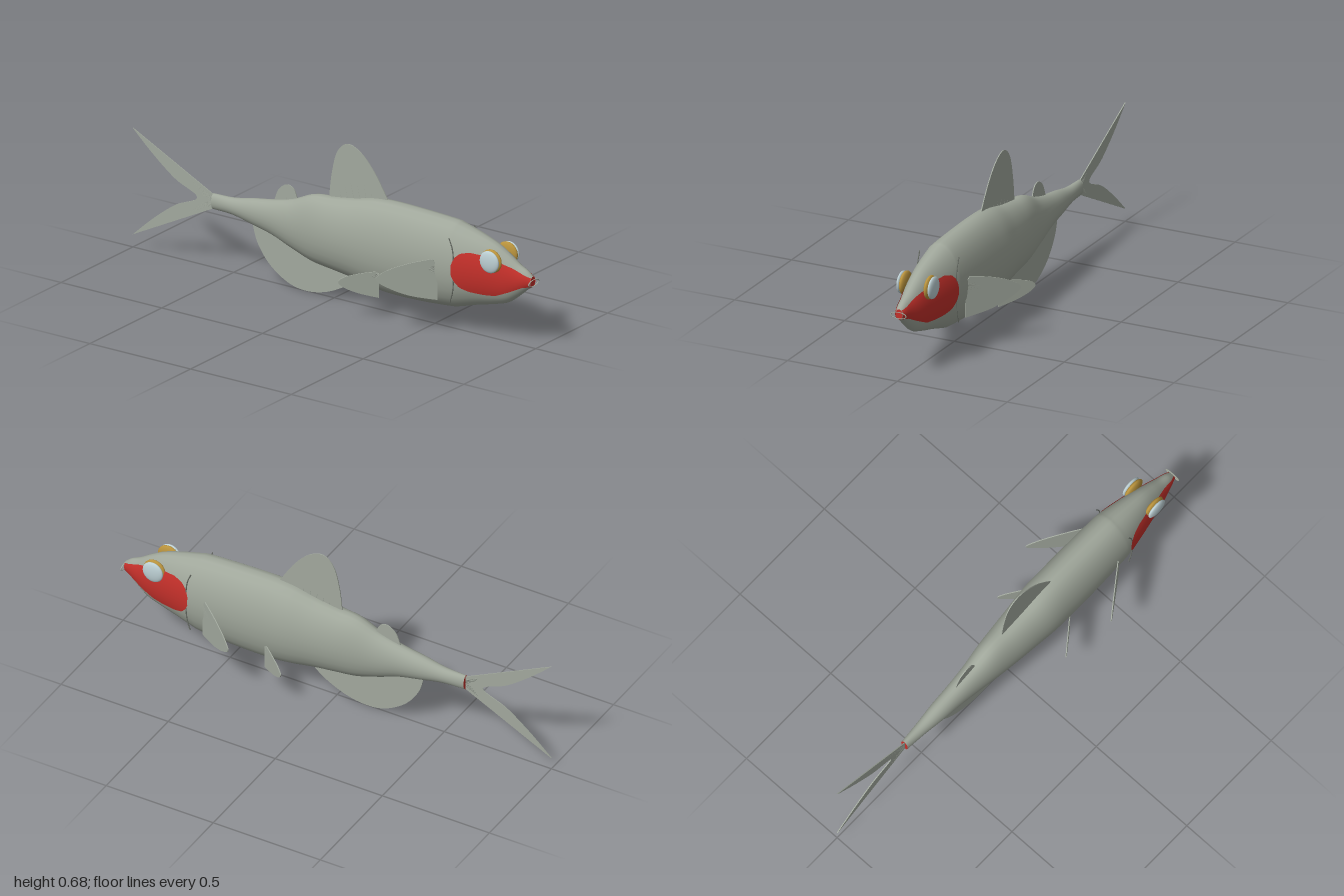
import * as THREE from 'three';

const mat = (name, color, side = THREE.FrontSide) => {
  const m = new THREE.MeshStandardMaterial({ color, side });
  m.name = name;
  return m;
};

// Body stations: x, top, bottom, half width
const STATIONS = [
  [-0.6, 0.325, 0.258, 0.018], [-0.5, 0.328, 0.255, 0.027], [-0.4, 0.347, 0.235, 0.038],
  [-0.3, 0.364, 0.212, 0.045], [-0.2, 0.39, 0.175, 0.055], [-0.1, 0.432, 0.143, 0.068],
  [0, 0.443, 0.13, 0.08], [0.1, 0.458, 0.118, 0.09], [0.2, 0.48, 0.1, 0.099],
  [0.3, 0.487, 0.09, 0.1], [0.45, 0.484, 0.092, 0.1], [0.6, 0.477, 0.103, 0.097],
  [0.645, 0.468, 0.112, 0.094], [0.73, 0.445, 0.137, 0.079], [0.81, 0.418, 0.157, 0.062],
  [0.87, 0.385, 0.178, 0.049], [0.92, 0.352, 0.215, 0.036], [0.96, 0.332, 0.25, 0.025],
  [0.985, 0.312, 0.268, 0.016],
];
const HEAD_T = 12 / 18; // parameter of the station behind the gill

const profile = new THREE.CatmullRomCurve3(
  STATIONS.map(([x, t, b]) => new THREE.Vector3(x, (t + b) / 2, (t - b) / 2)), false, 'catmullrom', 0.5);
const widths = new THREE.CatmullRomCurve3(
  STATIONS.map((s) => new THREE.Vector3(s[0], s[3], 0)), false, 'catmullrom', 0.5);
const section = (t) => {
  const p = profile.getPoint(t);
  return { x: p.x, y: p.y, ry: p.z, rz: widths.getPoint(t).y };
};

// Smooth skin from a function of two parameters
function skin(rows, cols, point, wrap = false) {
  const pos = [], index = [], n = wrap ? cols : cols + 1;
  for (let i = 0; i <= rows; i++)
    for (let j = 0; j < n; j++) pos.push(...point(i / rows, j / cols));
  for (let i = 0; i < rows; i++)
    for (let j = 0; j < cols; j++) {
      const a = i * n + j, b = i * n + ((j + 1) % n);
      index.push(a, a + n, b, b, a + n, b + n);
    }
  const g = new THREE.BufferGeometry();
  g.setAttribute('position', new THREE.Float32BufferAttribute(pos, 3));
  g.setIndex(index);
  g.computeVertexNormals();
  return g;
}

// Upper and lower limits of the red cheek: x, top, bottom
const CHEEK = [
  [0.645, 0.315, 0.275], [0.655, 0.345, 0.25], [0.68, 0.368, 0.223], [0.72, 0.378, 0.211],
  [0.78, 0.374, 0.207], [0.83, 0.36, 0.21], [0.9, 0.34, 0.24], [0.95, 0.32, 0.265], [0.99, 0.305, 0.272],
];
function cheekLimits(x) {
  let i = 0;
  while (i < CHEEK.length - 2 && x > CHEEK[i + 1][0]) i++;
  const [a, b] = [CHEEK[i], CHEEK[i + 1]];
  const k = THREE.MathUtils.clamp((x - a[0]) / (b[0] - a[0]), 0, 1);
  return [a[1] + (b[1] - a[1]) * k, a[2] + (b[2] - a[2]) * k];
}

export function createModel() {
  const model = new THREE.Group();
  model.name = 'fish';
  const grey = mat('scale grey', 0xa0a79b, THREE.DoubleSide);
  const finGrey = mat('fin grey', 0xa2a99e, THREE.DoubleSide);
  const dark = mat('gill grey', 0x6d726a);
  const red = mat('cheek red', 0xc4302a, THREE.DoubleSide);
  const gold = mat('iris gold', 0xb8923c);
  const pale = mat('lens pale blue', 0xbdd0d4);

  const add = (name, geo, material, parent = model) => {
    const m = new THREE.Mesh(geo, material);
    m.name = name;
    parent.add(m);
    return m;
  };

  // Body
  add('body', skin(108, 24, (t, v) => {
    const s = section(t), a = v * Math.PI * 2;
    return [s.x, s.y + s.ry * Math.cos(a), s.rz * Math.sin(a)];
  }, true), grey);

  // Red caps closing the snout and the tail root
  [[0, -1, 'tailRootCap'], [1, 1, 'snoutCap']].forEach(([t, dir, name]) => {
    const s = section(t);
    const cap = add(name, new THREE.CircleGeometry(1, 24), red);
    cap.scale.set(s.rz, s.ry, 1);
    cap.rotation.y = dir * Math.PI / 2;
    cap.position.set(s.x, s.y, 0);
  });

  for (const side of [1, -1]) {
    const label = side > 0 ? 'front' : 'back';

    // Cheek patch lying on the head
    add(label + 'Cheek', skin(60, 16, (t, v) => {
      const s = section(HEAD_T + (1 - HEAD_T) * t), [top, bottom] = cheekLimits(s.x);
      const angle = (y) => Math.acos(THREE.MathUtils.clamp((y - s.y) / s.ry, -1, 1));
      const a = THREE.MathUtils.lerp(angle(top), angle(bottom), v);
      return [s.x, s.y + (s.ry + 0.002) * Math.cos(a), side * (s.rz + 0.002) * Math.sin(a)];
    }), red);

    // Eye: golden disc with a pale lens outside
    const eye = new THREE.Group();
    eye.name = label + 'Eye';
    eye.position.set(0.82, 0.361, 0);
    model.add(eye);
    const iris = add('iris', new THREE.SphereGeometry(0.05, 28, 18), gold, eye);
    iris.scale.z = 0.32;
    iris.position.z = side * 0.056;
    const lens = add('lens', new THREE.SphereGeometry(0.047, 28, 18), pale, eye);
    lens.scale.z = 0.27;
    lens.position.z = side * 0.071;

    // Gill line
    const gill = new THREE.CatmullRomCurve3([[0.632, 0.43], [0.65, 0.38], [0.655, 0.29], [0.65, 0.2], [0.635, 0.15]]
      .map(([x, y]) => new THREE.Vector3(x, y, side * 0.089)));
    add(label + 'GillLine', new THREE.TubeGeometry(gill, 24, 0.0025, 6), dark);
  }

  // Mouth ring
  const mouth = add('mouthRing', new THREE.TorusGeometry(0.034, 0.0028, 8, 36), grey);
  mouth.rotation.set(0, Math.PI / 2, 0);
  mouth.scale.y = 0.4;
  mouth.position.set(0.99, 0.287, 0);

  // Thin fin: curved rim closed by a straight base, with rays fanning from base to rim
  function fin(name, rimPoints, base, rayBase, rays) {
    const g = new THREE.Group();
    g.name = name;
    const v2 = (p) => new THREE.Vector2(...p);
    const rim = new THREE.SplineCurve(rimPoints.map(v2));
    const shape = new THREE.Shape([...rim.getPoints(40), ...base.map(v2)]);
    const geo = new THREE.ExtrudeGeometry(shape, { depth: 0.004, bevelEnabled: false });
    add('web', geo.translate(0, 0, -0.002), finGrey, g);
    const [a, b] = rayBase.map(v2);
    for (let i = 1; i <= rays; i++) {
      const k = i / (rays + 1), p = a.clone().lerp(b, k), q = rim.getPoint(k);
      const d = q.clone().sub(p);
      const ray = add('ray', new THREE.CylinderGeometry(0.0008, 0.0028, d.length() * 0.94, 5), finGrey, g);
      ray.position.set(p.x + d.x * 0.47, p.y + d.y * 0.47, 0);
      ray.rotation.z = Math.atan2(-d.x, d.y);
    }
    model.add(g);
    return g;
  }

  // Fins on the middle line
  fin('dorsalFin',
    [[-0.025, 0.43], [-0.012, 0.54], [0.015, 0.64], [0.065, 0.684], [0.13, 0.662], [0.2, 0.59], [0.27, 0.48]],
    [[0.2, 0.46], [0.05, 0.43]], [[-0.02, 0.43], [0.25, 0.46]], 8);
  fin('adiposeFin',
    [[-0.3, 0.355], [-0.275, 0.415], [-0.235, 0.443], [-0.2, 0.43], [-0.18, 0.385]],
    [[-0.24, 0.36]], [[-0.27, 0.36], [-0.2, 0.37]], 3);
  fin('analFin',
    [[-0.405, 0.24], [-0.38, 0.16], [-0.32, 0.08], [-0.23, 0.022], [-0.14, 0.005], [-0.04, 0.022], [0.06, 0.07], [0.13, 0.13]],
    [[0, 0.15], [-0.2, 0.2]], [[-0.38, 0.24], [0.1, 0.14]], 9);
  fin('tailFin',
    [[-1, 0.52], [-0.9, 0.43], [-0.79, 0.347], [-0.68, 0.29], [-0.79, 0.233], [-0.9, 0.15], [-1, 0.06]],
    [[-0.595, 0.262], [-0.595, 0.318]], [[-0.6, 0.305], [-0.6, 0.275]], 13);

  // Paired fins, swept back and outwards
  for (const side of [1, -1]) {
    const label = side > 0 ? 'front' : 'back';
    const pectoral = fin(label + 'PectoralFin',
      [[0, -0.14], [0.11, -0.122], [0.2, -0.088], [0.25, -0.05], [0.2, -0.012], [0.11, 0.018], [0.02, 0.036]],
      [[0, 0.01]], [[0, -0.01], [0, 0.01]], 7);
    pectoral.position.set(0.575, 0.29, side * 0.089);
    pectoral.rotation.y = side * Math.atan2(-0.145, -0.2);
    const pelvic = fin(label + 'PelvicFin',
      [[0, -0.105], [0.08, -0.085], [0.14, -0.06], [0.165, -0.035], [0.14, -0.014], [0.08, 0], [0.015, 0.008]],
      [[0, 0]], [[0, -0.01], [0, 0]], 5);
    pelvic.position.set(0.285, 0.2, side * 0.089);
    pelvic.rotation.y = side * Math.atan2(-0.1, -0.13);
  }

  return model;
}
